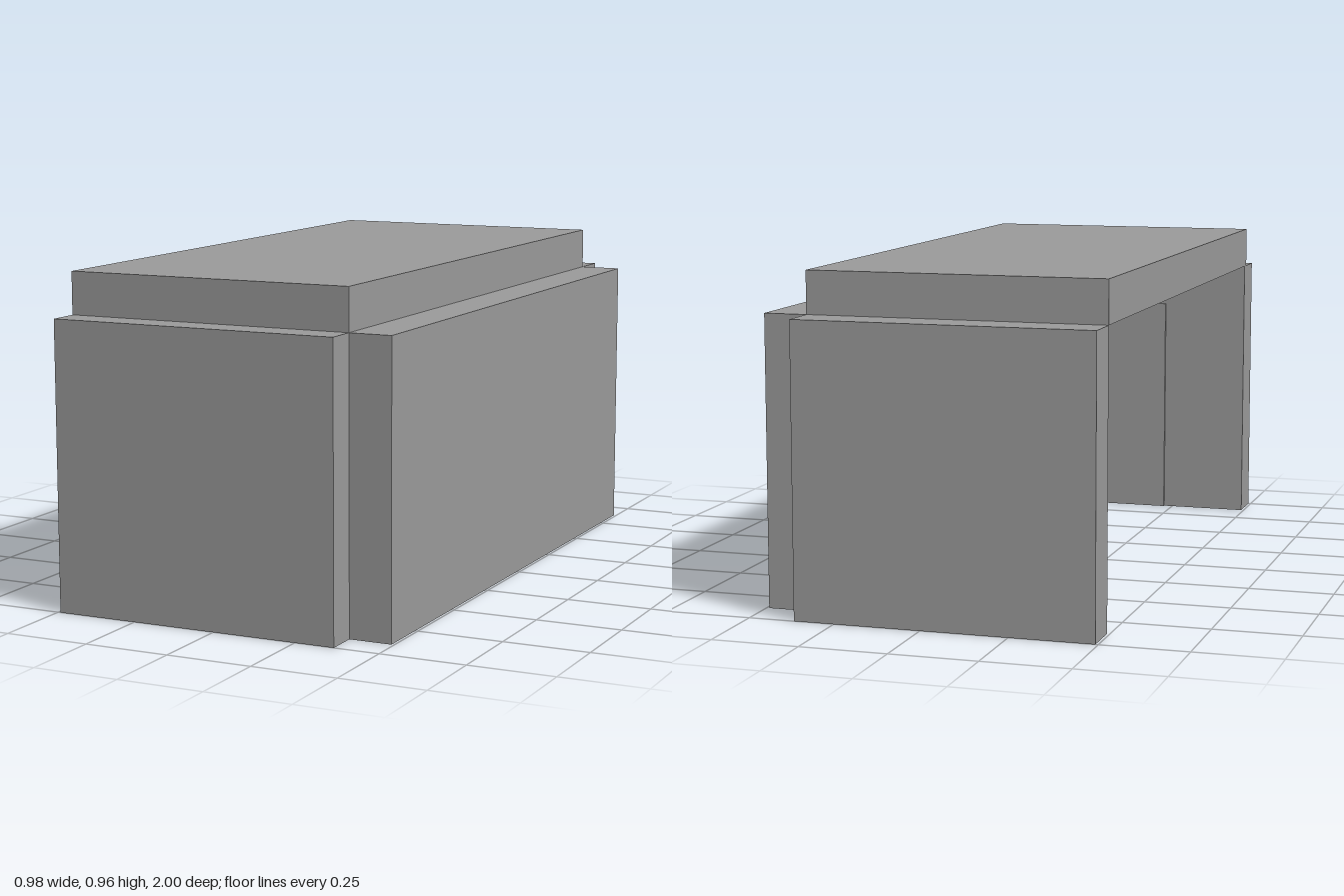
import * as THREE from 'three';

export function createModel() {
  const model = new THREE.Group();
  const material = new THREE.MeshStandardMaterial({ color: 0x9a9a9a });

  // Box given by its lower and upper limits on each axis
  function slab(name, [x0, x1], [y0, y1], [z0, z1], parent = model) {
    const mesh = new THREE.Mesh(new THREE.BoxGeometry(x1 - x0, y1 - y0, z1 - z0), material);
    mesh.position.set((x0 + x1) / 2, (y0 + y1) / 2, (z0 + z1) / 2);
    mesh.name = name;
    parent.add(mesh);
  }

  const roomX = [-0.492, 0.367];
  const wallY = [0, 0.835];
  const spanZ = [-0.88, 0.905];

  // Room shell, open on the -x side and underneath
  slab('frontWall', roomX, wallY, [0.88, 1]);
  slab('backWall', roomX, wallY, [-1, -0.88]);
  slab('sideWall', [0.367, 0.492], wallY, spanZ);
  slab('roof', roomX, [0.835, 0.958], spanZ);

  // Thin doors standing just proud of the inner wall faces
  slab('frontDoor', [-0.222, 0.008], [0, 0.7], [0.872, 0.885]);
  slab('backDoor', [-0.222, 0.008], [0, 0.7], [-0.885, -0.872]);

  // Table against the side wall
  const table = new THREE.Group();
  table.name = 'table';
  model.add(table);
  slab('tableTop', [0.01, 0.367], [0.2, 0.222], [-0.46, 0.145], table);
  for (const x of [0.085, 0.305]) {
    for (const z of [-0.405, 0.08]) {
      slab('tableLeg', [x - 0.015, x + 0.015], [0, 0.2], [z - 0.015, z + 0.015], table);
    }
  }

  return model;
}
